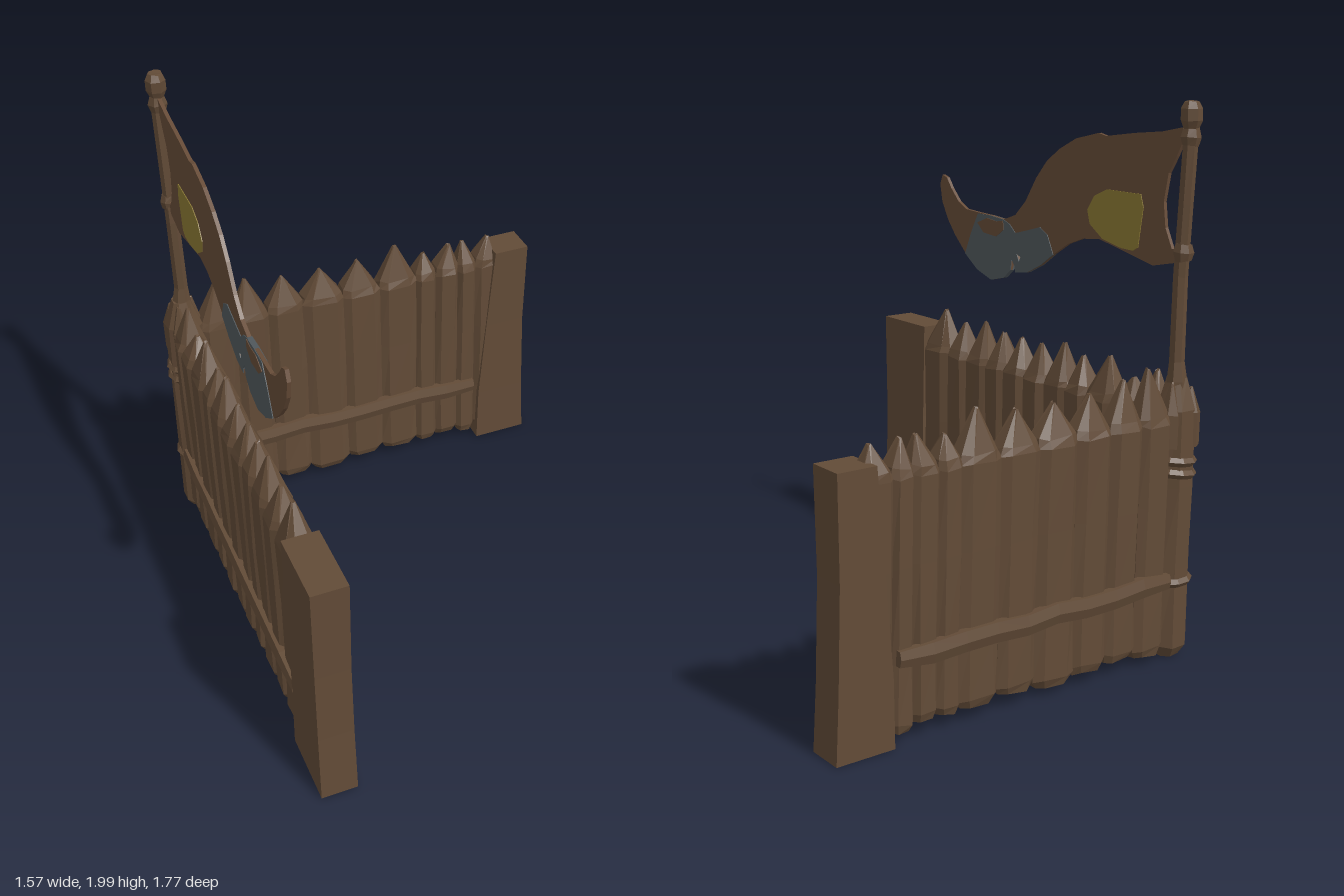
import * as THREE from 'three';

const wood = new THREE.MeshStandardMaterial({ color: 0x624b37 });
wood.name = 'wood brown';
const cloth = new THREE.MeshStandardMaterial({ color: 0x674c38 });
cloth.name = 'cloth brown';
const yellow = new THREE.MeshStandardMaterial({ color: 0x8c7a35 });
yellow.name = 'patch yellow';
const grey = new THREE.MeshStandardMaterial({ color: 0x51595d });
grey.name = 'patch grey';

let seed = 7;
const rand = () => ((seed = (seed * 16807) % 2147483647) / 2147483647) * 2 - 1;

// Faceted loft through rings [y, halfX, halfZ, centreX, centreZ]; power < 1 squares the section
function loft(rings, sides, power, jitter) {
  const pos = [], idx = [];
  const shape = v => Math.sign(v) * Math.abs(v) ** power;
  const peak = shape(Math.cos(Math.PI / sides));
  rings.forEach(([y, rx, rz, cx = 0, cz = 0]) => {
    for (let i = 0; i < sides; i++) {
      const a = ((i + 0.5) / sides) * Math.PI * 2;
      pos.push(
        cx + (rx * shape(Math.cos(a)) / peak) * (1 + jitter * rand()),
        y + jitter * 0.08 * rand(),
        cz + (rz * shape(Math.sin(a)) / peak) * (1 + jitter * rand()));
    }
  });
  for (let r = 0; r < rings.length - 1; r++) {
    for (let i = 0; i < sides; i++) {
      const b0 = r * sides + i, b1 = r * sides + (i + 1) % sides;
      idx.push(b0, b0 + sides, b1, b1, b0 + sides, b1 + sides);
    }
  }
  const top = (rings.length - 1) * sides;
  for (let i = 1; i < sides - 1; i++) {
    idx.push(0, i, i + 1, top, top + i + 1, top + i);
  }
  const g = new THREE.BufferGeometry();
  g.setAttribute('position', new THREE.Float32BufferAttribute(pos, 3));
  g.setIndex(idx);
  const flat = g.toNonIndexed();
  flat.computeVertexNormals();
  return flat;
}

function add(parent, name, geometry, material = wood) {
  const mesh = new THREE.Mesh(geometry, material);
  mesh.name = name;
  parent.add(mesh);
  return mesh;
}

// Row of sharpened stakes along local x; edges has one more entry than tips
function palisade(name, edges, tips, depth, rail) {
  const wall = new THREE.Group();
  wall.name = name;
  tips.forEach(([tx, ty], i) => {
    const c = (edges[i] + edges[i + 1]) / 2;
    const w = Math.abs(edges[i + 1] - edges[i]) / 2 + 0.003;
    const foot = 0.05 + 0.012 * rand();
    add(wall, 'stake', loft([
      [foot, w * 0.8, depth * 0.75, c],
      [foot + 0.03, w, depth * 0.95, c],
      [0.28, w * 0.97, depth * 0.9, c],
      [0.6, w, depth * 0.95, c],
      [0.895, w, depth, c],
      [0.925, w * 0.88, depth * 0.85, c + (tx - c) * 0.2],
      [ty, 0.006, 0.008, tx],
    ], 8, 0.6, 0.07));
  });
  // Cross rails on both faces
  const [x0, x1, y0, y1] = rail;
  for (const side of [-1, 1]) {
    const rings = [];
    for (let i = 0; i <= 9; i++) {
      const t = i / 9, r = i % 9 ? 1 : 0.75;
      const y = y0 + (y1 - y0) * t + 0.007 * rand();
      rings.push([x0 + (x1 - x0) * t, 0.036 * r, 0.022 * r, -y, side * (depth - 0.004)]);
    }
    add(wall, 'rail', loft(rings, 6, 0.8, 0).rotateZ(-Math.PI / 2));
  }
  return wall;
}

function plate(points, thickness, holes = []) {
  const v = list => list.map(p => new THREE.Vector2(...p));
  const s = new THREE.Shape(v(points));
  holes.forEach(h => s.holes.push(new THREE.Path(v(h))));
  return new THREE.ExtrudeGeometry(s, { depth: thickness, bevelEnabled: false })
    .translate(0, 0, -thickness / 2).rotateY(-Math.PI / 2);
}

export function createModel() {
  const model = new THREE.Group();
  model.name = 'palisadeCorner';

  // Two walls meeting at the back corner
  const back = palisade('backWall',
    [-0.64, -0.5, -0.36, -0.21, -0.04, 0.12, 0.28, 0.37, 0.47, 0.55, 0.66],
    [[-0.555, 1.09], [-0.44, 1.065], [-0.285, 1.04], [-0.125, 1.035], [0.035, 1.035], [0.2, 1.065],
      [0.325, 1.0], [0.44, 1.015], [0.5, 1.015], [0.615, 1.01]],
    0.057, [-0.64, 0.54, 0.312, 0.305]);
  back.position.z = -0.815;
  const side = palisade('sideWall',
    [0.62, 0.45, 0.33, 0.2, 0.09, -0.03, -0.15, -0.28, -0.39, -0.54, -0.66, -0.77],
    [[0.52, 1.07], [0.39, 1.035], [0.255, 1.06], [0.14, 1.04], [0.03, 1.035], [-0.09, 1.035],
      [-0.225, 1.06], [-0.33, 1.03], [-0.475, 1.055], [-0.605, 1.0], [-0.72, 1.05]],
    0.062, [0.61, -0.75, 0.285, 0.32].map((v, i, a) => a[i ^ 1]));
  side.rotation.y = -Math.PI / 2;
  side.position.x = -0.697;
  model.add(back, side);

  // Squared end posts
  add(model, 'backEndPost', loft([
    [0.008, 0.112, 0.067, 0.67, -0.813], [0.25, 0.104, 0.065, 0.668, -0.814],
    [0.6, 0.085, 0.064, 0.68, -0.815], [0.96, 0.073, 0.067, 0.7, -0.813],
  ], 4, 1, 0));
  add(model, 'sideEndPost', loft([
    [0.015, 0.068, 0.142, -0.705, 0.74], [0.3, 0.066, 0.135, -0.704, 0.735],
    [0.6, 0.065, 0.132, -0.704, 0.736], [0.99, 0.067, 0.141, -0.705, 0.739],
  ], 4, 1, 0));

  // Round corner post with rope bindings
  const cx = -0.7, cz = -0.812;
  add(model, 'cornerPost', loft([
    [0.012, 0.045, 0.042, cx, cz], [0.05, 0.068, 0.064, cx, cz], [0.35, 0.066, 0.063, cx, cz],
    [0.65, 0.067, 0.064, cx, cz], [0.93, 0.068, 0.064, cx, cz], [1.04, 0.034, 0.034, cx, cz],
  ], 8, 0.9, 0.05));
  for (const y of [0.3, 0.7, 0.745]) {
    const rope = add(model, 'ropeBinding',
      new THREE.TorusGeometry(0.067, 0.017, 5, 10).toNonIndexed().rotateX(Math.PI / 2));
    rope.geometry.computeVertexNormals();
    rope.rotation.z = 0.12 * rand();
    rope.position.set(cx, y, cz);
  }
  // Small spikes around the corner
  for (const [x, z, h] of [[-0.735, -0.85, 1.01], [-0.655, -0.835, 1.03], [-0.72, -0.775, 1.03]]) {
    add(model, 'cornerSpike', loft([
      [0.8, 0.03, 0.03, x, z], [0.92, 0.033, 0.03, x, z], [h, 0.005, 0.005, x, z],
    ], 6, 1, 0.05));
  }

  // Flag pole with knob and ties
  add(model, 'flagPole', loft([
    [0.9, 0.042, 0.042, -0.7, -0.815], [1.03, 0.034, 0.034, -0.695, -0.816],
    [1.1, 0.024, 0.026, -0.692, -0.815], [1.4, 0.023, 0.026, -0.697, -0.81],
    [1.65, 0.023, 0.025, -0.698, -0.82], [1.87, 0.024, 0.024, -0.7, -0.828],
    [1.91, 0.024, 0.026, -0.7, -0.828], [1.935, 0.034, 0.036, -0.7, -0.828],
    [1.975, 0.034, 0.036, -0.7, -0.826], [2.0, 0.024, 0.024, -0.7, -0.826],
  ], 7, 1, 0.03));
  for (const [y, z] of [[1.485, -0.818], [1.88, -0.828]]) {
    add(model, 'flagTie', loft([
      [y - 0.03, 0.025, 0.027, -0.699, z], [y, 0.033, 0.035, -0.699, z], [y + 0.03, 0.025, 0.027, -0.699, z],
    ], 7, 1, 0.05));
  }

  // Torn flag, outlined as [z, y]
  const upper = [
    [-0.82, 1.915], [-0.7, 1.89], [-0.56, 1.875], [-0.42, 1.855], [-0.38, 1.863], [-0.26, 1.835],
    [-0.17, 1.79], [-0.1, 1.74], [-0.04, 1.67], [0.02, 1.575], [0.08, 1.515], [0.15, 1.49],
    [0.23, 1.497], [0.31, 1.5], [0.39, 1.505], [0.44, 1.53], [0.49, 1.58], [0.52, 1.62], [0.55, 1.63],
    [0.565, 1.59], [0.55, 1.52], [0.51, 1.45], [0.46, 1.39],
  ];
  const torn = [
    [0.39, 1.325], [0.31, 1.27], [0.22, 1.24], [0.14, 1.26], [0.1, 1.295], [0.095, 1.34],
    [0.075, 1.315], [0.07, 1.29], [0, 1.3], [-0.08, 1.34], [-0.15, 1.39],
  ];
  const lower = [
    [-0.23, 1.44], [-0.31, 1.47], [-0.4, 1.48], [-0.52, 1.455], [-0.68, 1.42], [-0.77, 1.44], [-0.82, 1.45],
    [-0.82, 1.5], [-0.77, 1.49], [-0.735, 1.56], [-0.722, 1.65], [-0.74, 1.75], [-0.775, 1.81], [-0.8, 1.86],
  ];
  const hole = [[0.065, 1.365], [0.04, 1.355], [0.05, 1.335]];
  const flag = new THREE.Group();
  flag.name = 'flag';
  flag.position.x = -0.698;
  model.add(flag);
  add(flag, 'flagCloth', plate([...upper, ...torn, ...lower], 0.014, [hole]), cloth);
  add(flag, 'greyPatch', plate([
    ...torn, [-0.115, 1.46], [-0.07, 1.485], [0, 1.465], [0.075, 1.445], [0.11, 1.475],
    [0.15, 1.49], [0.23, 1.497], [0.31, 1.496], [0.35, 1.42],
  ], 0.02, [hole]), grey);
  add(flag, 'brownPatch', plate([
    [0.31, 1.46], [0.27, 1.425], [0.19, 1.418], [0.145, 1.45], [0.15, 1.485], [0.19, 1.478], [0.25, 1.485],
  ], 0.025), cloth);
  add(flag, 'yellowPatch', plate([
    [-0.335, 1.58], [-0.37, 1.635], [-0.435, 1.665], [-0.61, 1.665], [-0.625, 1.62], [-0.605, 1.475],
    [-0.58, 1.46], [-0.52, 1.462], [-0.42, 1.483], [-0.35, 1.53],
  ], 0.02), yellow);

  return model;
}
